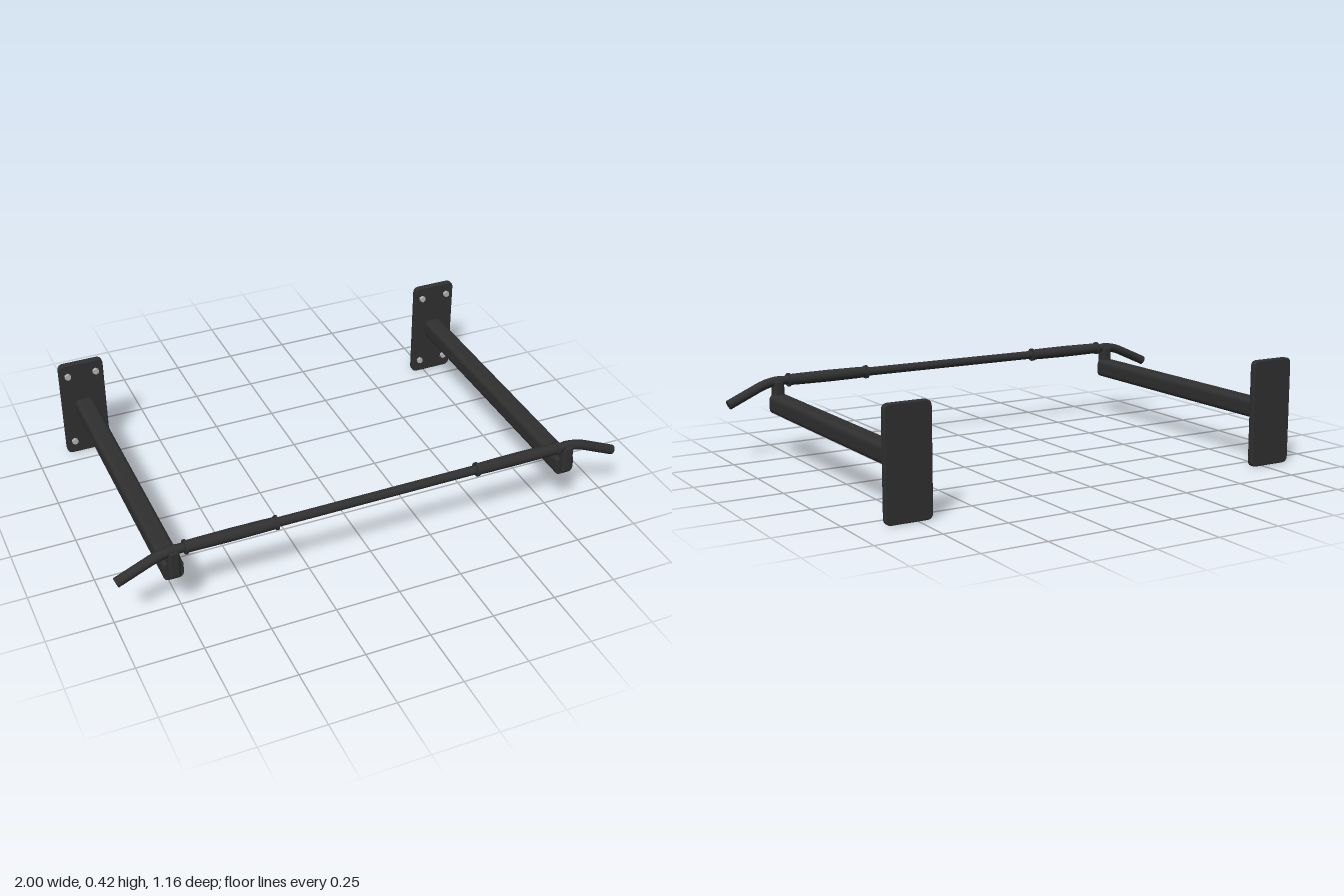
import * as THREE from 'three';
import { RoundedBoxGeometry } from 'three/addons/geometries/RoundedBoxGeometry.js';

const black = new THREE.MeshStandardMaterial({ color: 0x303030 });
black.name = 'black steel';
const steel = new THREE.MeshStandardMaterial({ color: 0xb4b4b4 });
steel.name = 'bolt steel';

const ARM_X = 0.785, BAR_Y = 0.303, BAR_Z = 0.556, BAR_R = 0.0175;

function add(parent, name, geometry, material, x = 0, y = 0, z = 0) {
  const mesh = new THREE.Mesh(geometry, material);
  mesh.name = name;
  mesh.position.set(x, y, z);
  parent.add(mesh);
  return mesh;
}

// Rounded rectangle extruded along z with a small bevel, centred on its origin
function roundedSlab(w, h, d, r, bevel) {
  const a = w / 2 - bevel, b = h / 2 - bevel, s = new THREE.Shape();
  s.moveTo(-a + r, -b);
  s.lineTo(a - r, -b).quadraticCurveTo(a, -b, a, -b + r);
  s.lineTo(a, b - r).quadraticCurveTo(a, b, a - r, b);
  s.lineTo(-a + r, b).quadraticCurveTo(-a, b, -a, b - r);
  s.lineTo(-a, -b + r).quadraticCurveTo(-a, -b, -a + r, -b);
  return new THREE.ExtrudeGeometry(s, {
    depth: d - 2 * bevel, bevelThickness: bevel, bevelSize: bevel, bevelSegments: 2, curveSegments: 6,
  }).translate(0, 0, -d / 2 + bevel);
}

// Everything carried by one wall plate; side is +1 or -1
function buildSide(side) {
  const g = new THREE.Group();
  g.name = side > 0 ? 'leftBracket' : 'rightBracket';
  const x = side * ARM_X;

  add(g, 'wallPlate', roundedSlab(0.18, 0.417, 0.025, 0.02, 0.004), black, x, 0.2085, -0.5695);
  add(g, 'arm', roundedSlab(0.075, 0.075, 1.114, 0.02, 0.002), black, x, 0.212, 0);
  add(g, 'post', new RoundedBoxGeometry(0.044, 0.118, 0.046, 3, 0.012), black, x, 0.249, BAR_Z);

  // Four hex bolts
  for (const dx of [-0.057, 0.057]) for (const y of [0.056, 0.367]) {
    const bolt = add(g, 'bolt', new THREE.CylinderGeometry(0.013, 0.014, 0.011, 6), steel, x + dx, y, -0.5515);
    bolt.rotation.x = Math.PI / 2;
  }

  // Drooping horn at the end of the bar
  const path = new THREE.CurvePath();
  const p = (px, py) => new THREE.Vector3(side * px, py, BAR_Z);
  path.add(new THREE.QuadraticBezierCurve3(p(0.77, BAR_Y), p(0.82, BAR_Y), p(0.865, 0.283)));
  path.add(new THREE.LineCurve3(p(0.865, 0.283), p(0.992, 0.226)));
  add(g, 'horn', new THREE.TubeGeometry(path, 20, 0.019, 16), black);
  const cap = add(g, 'hornCap', new THREE.CircleGeometry(0.019, 16), black, side * 0.992, 0.226, BAR_Z);
  cap.lookAt(side * (0.992 + 0.127), 0.226 - 0.057, BAR_Z);

  // Grip sleeve with a raised collar at each end
  const profile = [[0, 0], [0.027, 0], [0.027, 0.009], [0.022, 0.01], [0.023, 0.06], [0.024, 0.17],
    [0.023, 0.29], [0.022, 0.338], [0.027, 0.339], [0.027, 0.348], [0, 0.348]];
  // Separate bands keep the collar edges sharp
  const grip = new THREE.Group();
  grip.name = 'grip';
  grip.position.set(side * 0.395, BAR_Y, BAR_Z);
  grip.rotation.z = -side * Math.PI / 2;
  for (const [from, to, name] of [[0, 1, 'collarFace'], [1, 2, 'collar'], [2, 3, 'collarFace'], [3, 7, 'sleeve'],
    [7, 8, 'collarFace'], [8, 9, 'collar'], [9, 10, 'collarFace']]) {
    const points = profile.slice(from, to + 1).map(([r, h]) => new THREE.Vector2(r, h));
    add(grip, name, new THREE.LatheGeometry(points, 20), black);
  }
  g.add(grip);
  return g;
}

export function createModel() {
  const model = new THREE.Group();
  model.name = 'wallPullUpBar';
  const bar = add(model, 'crossbar', new THREE.CylinderGeometry(BAR_R, BAR_R, 1.58, 16), black, 0, BAR_Y, BAR_Z);
  bar.rotation.z = Math.PI / 2;
  for (const side of [-1, 1]) model.add(buildSide(side));
  return model;
}
